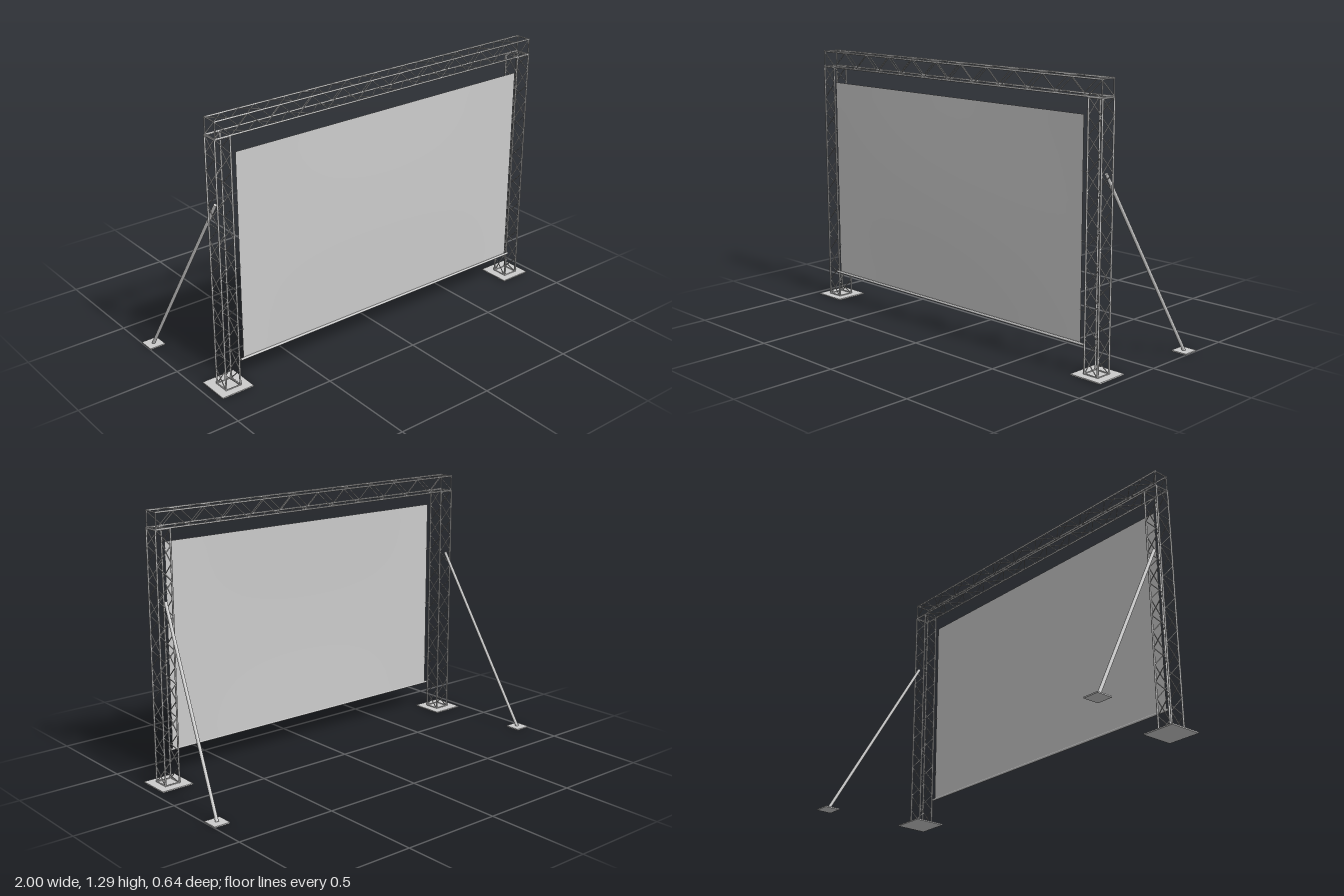
import * as THREE from 'three';
import { mergeGeometries } from 'three/addons/utils/BufferGeometryUtils.js';

const grey = new THREE.MeshStandardMaterial({ color: 0xcccccc });
const sheet = new THREE.MeshStandardMaterial({ color: 0xcccccc, side: THREE.DoubleSide });
const V = (x, y, z) => new THREE.Vector3(x, y, z);

// Round bar between two points
function bar(a, b, r, sides = 8) {
  const dir = b.clone().sub(a);
  const g = new THREE.CylinderGeometry(r, r, dir.length(), sides);
  g.applyQuaternion(new THREE.Quaternion().setFromUnitVectors(V(0, 1, 0), dir.normalize()));
  const mid = a.clone().add(b).multiplyScalar(0.5);
  return g.translate(mid.x, mid.y, mid.z);
}

function part(name, geometry, material = grey) {
  const mesh = new THREE.Mesh(geometry, material);
  mesh.name = name;
  return mesh;
}

// Square box truss standing on y = 0: chords, end frames and zigzag lacing
function truss(name, length, cells) {
  const h = 0.038, chord = 0.0045, lace = 0.0025;
  const corners = [[h, h], [-h, h], [-h, -h], [h, -h]];
  const chords = [], frames = [], lacing = [];
  corners.forEach(([x, z], i) => {
    const [nx, nz] = corners[(i + 1) % 4];
    chords.push(bar(V(x, 0, z), V(x, length, z), chord));
    for (const y of [0.003, length - 0.003]) frames.push(bar(V(x, y, z), V(nx, y, nz), 0.0032, 6));
    for (let c = 0; c < cells; c++) {
      const y0 = (c / cells) * length, y1 = ((c + 1) / cells) * length;
      lacing.push(c % 2
        ? bar(V(nx, y0, nz), V(x, y1, z), lace, 6)
        : bar(V(x, y0, z), V(nx, y1, nz), lace, 6));
    }
  });
  const group = new THREE.Group();
  group.name = name;
  group.add(
    part('chords', mergeGeometries(chords)),
    part('endFrames', mergeGeometries(frames)),
    part('lacing', mergeGeometries(lacing)));
  return group;
}

export function createModel() {
  const model = new THREE.Group();
  model.name = 'screenStand';
  const towerX = 0.877, towerZ = 0.242, plate = 0.006;

  for (const [side, s] of [['left', 1], ['right', -1]]) {
    // Tower on its base plate
    const tower = truss(side + 'Tower', 1.205, 15);
    tower.position.set(s * towerX, 0.004, towerZ);
    const base = part(side + 'BasePlate', new THREE.BoxGeometry(0.165, plate, 0.165));
    base.position.set(s * towerX, plate / 2, 0.238);

    // Rear brace and its foot
    const brace = part(side + 'Brace',
      bar(V(s * 0.878, 0.88, 0.203), V(s * 0.96, 0.005, -0.28), 0.008, 12));
    const foot = part(side + 'BraceFoot', new THREE.BoxGeometry(0.08, plate, 0.08));
    foot.position.set(s * 0.96, plate / 2, -0.28);

    // Short ties from the screen edge to the tower
    const ties = [0.29, 0.595, 0.895].map(y =>
      bar(V(s * 0.815, y, 0.285), V(s * 0.842, y, 0.281), 0.002, 6));
    model.add(tower, base, brace, foot, part(side + 'ScreenTies', mergeGeometries(ties)));
  }

  // Top beam
  const beam = truss('topBeam', 1.83, 22);
  beam.rotation.z = Math.PI / 2;
  beam.position.set(0.915, 1.248, towerZ);
  model.add(beam);

  // Screen, bulging slightly forward
  const w = 1.64, h = 0.993;
  const screen = new THREE.PlaneGeometry(w, h, 24, 16);
  const p = screen.attributes.position;
  for (let i = 0; i < p.count; i++) {
    const bulge = Math.cos((p.getX(i) / w) * Math.PI) * Math.cos((p.getY(i) / h) * Math.PI);
    p.setZ(i, 0.006 * bulge);
  }
  screen.computeVertexNormals();
  screen.translate(0, 0.142 + h / 2, 0.285);
  model.add(part('screen', screen, sheet));

  // Bottom rail
  model.add(part('bottomRail', bar(V(-0.838, 0.142, 0.29), V(0.838, 0.142, 0.29), 0.006, 10)));

  return model;
}
